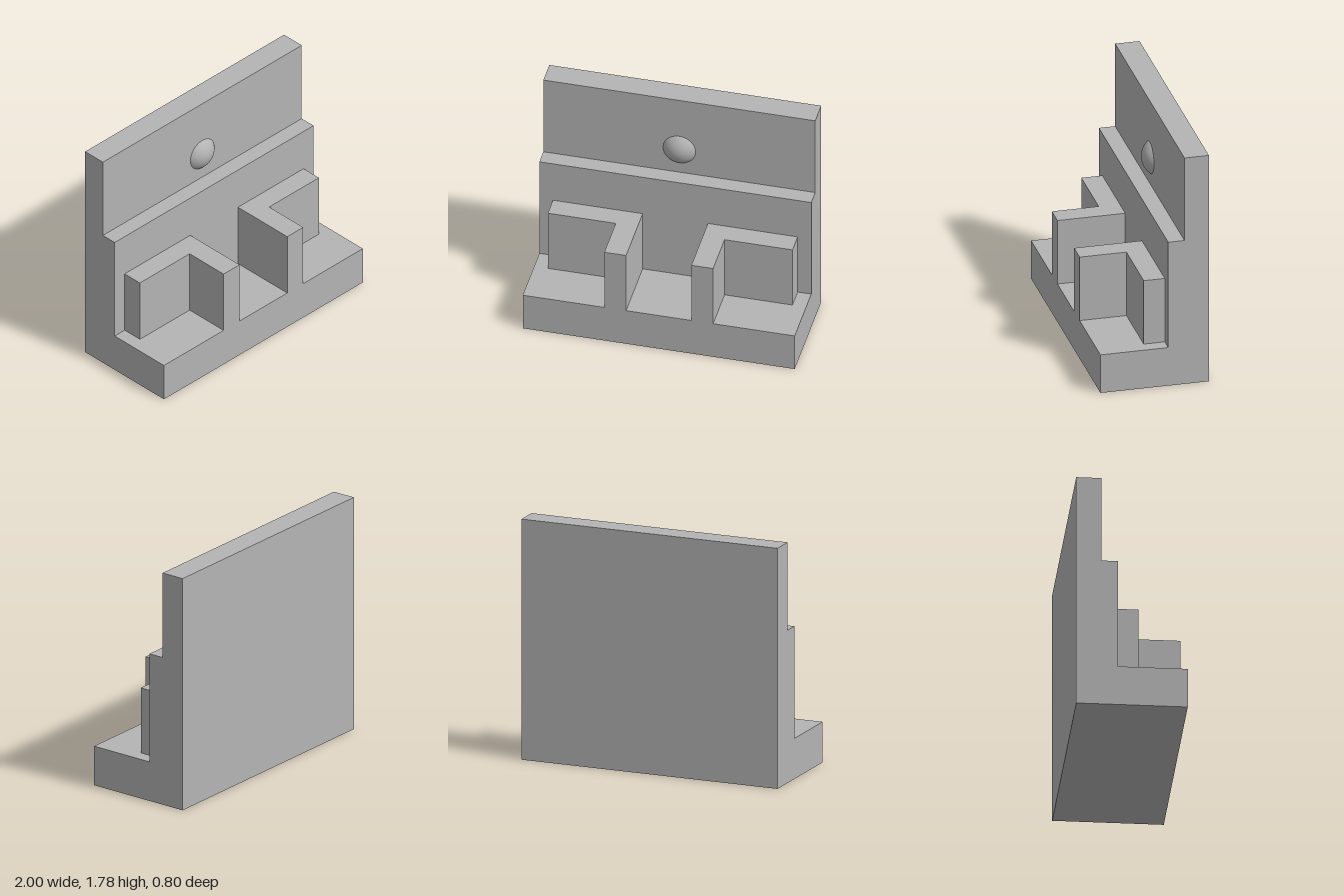
import * as THREE from 'three';

export function createModel() {
  const group = new THREE.Group();
  const grey = new THREE.MeshStandardMaterial({ color: 0xb4b4b4 });
  grey.name = 'plain grey';

  const add = (name, geometry) => {
    const mesh = new THREE.Mesh(geometry, grey);
    mesh.name = name;
    group.add(mesh);
    return mesh;
  };
  const extrude = (points, depth) => new THREE.ExtrudeGeometry(
    new THREE.Shape(points.map(([x, y]) => new THREE.Vector2(x, y))),
    { depth, bevelEnabled: false });

  // Stepped body: (z, y) side profile swept across the full width
  const body = extrude([
    [-0.4, 0], [0.4, 0], [0.4, 0.3], [-0.1, 0.3], [-0.1, 1.13],
    [-0.22, 1.13], [-0.22, 1.78], [-0.4, 1.78],
  ], 2);
  body.translate(0, 0, -1).rotateY(-Math.PI / 2);
  // the turn sends profile x to +z
  add('steppedBody', body);

  // Mirrored L-shaped walls: (x, -z) plan raised from the ledge
  for (const [side, name] of [[1, 'leftWall'], [-1, 'rightWall']]) {
    const plan = [
      [0.24, 0.1], [0.24, -0.4], [0.4, -0.4], [0.4, -0.055], [0.9, -0.055], [0.9, 0.1],
    ].map(([x, y]) => [side * x, y]);
    const wall = extrude(plan, 0.5);
    wall.rotateX(-Math.PI / 2).translate(0, 0.3, 0);
    add(name, wall);
  }

  // Domed knob: shallow spherical cap on the upper panel
  const radius = 0.15;
  const dome = new THREE.SphereGeometry(radius, 48, 16, 0, Math.PI * 2, 0, Math.acos(0.09 / radius));
  dome.rotateX(Math.PI / 2);
  add('domedKnob', dome).position.set(0, 1.335, -0.31);

  return group;
}
